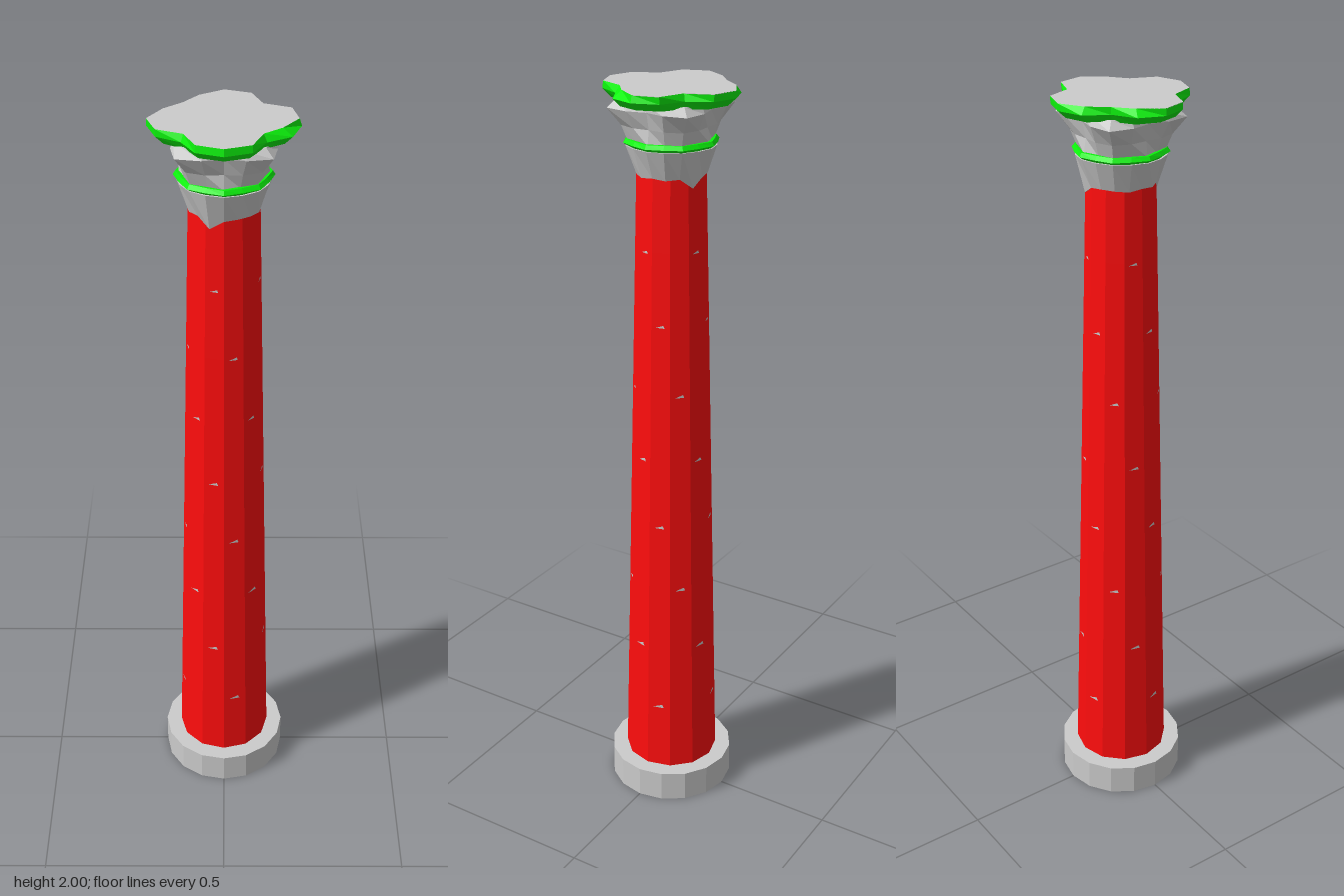
import * as THREE from 'three';

const SIDES = 16;
const mat = (color) => new THREE.MeshStandardMaterial({ color, flatShading: true, side: THREE.DoubleSide });

// Closed skin through rings of 16 radii; each ring is { y, r: [..] }.
function loft(rings, capBottom = true, capTop = true) {
  const pos = [];
  const at = (ring, i) => {
    const k = i % SIDES, a = (k / SIDES) * Math.PI * 2;
    const y = ring.drop ? ring.y - ring.drop[k % ring.drop.length] : ring.y;
    return [Math.cos(a) * ring.r[k], y, Math.sin(a) * ring.r[k]];
  };
  const tri = (...p) => p.forEach((v) => pos.push(...v));
  for (let n = 0; n < rings.length - 1; n++) {
    for (let i = 0; i < SIDES; i++) {
      const a = at(rings[n], i), b = at(rings[n + 1], i);
      const c = at(rings[n + 1], i + 1), d = at(rings[n], i + 1);
      tri(a, b, c);
      tri(a, c, d);
    }
  }
  const lo = rings[0], hi = rings[rings.length - 1];
  for (let i = 0; i < SIDES; i++) {
    if (capBottom) tri([0, lo.y, 0], at(lo, i), at(lo, i + 1));
    if (capTop) tri([0, hi.y, 0], at(hi, i + 1), at(hi, i));
  }
  const g = new THREE.BufferGeometry();
  g.setAttribute('position', new THREE.Float32BufferAttribute(pos, 3));
  g.computeVertexNormals();
  return g;
}

// Four-fold ring: radius on the axes, between, and on the diagonals.
const lobes = (axis, mid, diag) =>
  Array.from({ length: SIDES }, (_, i) => [axis, mid, diag, mid][i % 4]);

export function createModel() {
  const group = new THREE.Group();
  const grey = mat(0xcccccc), red = mat(0xff0d0d), green = mat(0x0cf20c);
  const add = (name, geometry, material) => {
    const mesh = new THREE.Mesh(geometry, material);
    mesh.name = name;
    group.add(mesh);
    return mesh;
  };

  // Round plinth
  add('base', new THREE.CylinderGeometry(0.172, 0.172, 0.086, 16), grey).position.y = 0.043;

  // Tapered shaft
  const y0 = 0.08, y1 = 1.79, r0 = 0.129, r1 = 0.087, facets = 12;
  add('shaft', new THREE.CylinderGeometry(r1, r0, y1 - y0, facets, 9), red).position.y = (y0 + y1) / 2;

  // Small chips along the joints between the drums
  const chipShape = new THREE.Shape([
    new THREE.Vector2(-0.025, -0.003),
    new THREE.Vector2(0.02, -0.004),
    new THREE.Vector2(0.014, 0.011),
  ]);
  const chipGeometry = new THREE.ShapeGeometry(chipShape);
  const chips = new THREE.Group();
  chips.name = 'jointChips';
  for (let joint = 0; joint < 8; joint++) {
    const y = 0.28 + joint * 0.188;
    const r = THREE.MathUtils.lerp(r0, r1, (y - y0) / (y1 - y0)) * Math.cos(Math.PI / facets) + 0.001;
    for (let k = 0; k < 4; k++) {
      const a = ((k * 3 + (joint * 5) % 3 + 0.5) / facets) * Math.PI * 2;
      const chip = new THREE.Mesh(chipGeometry, grey);
      chip.name = 'chip';
      chip.position.set(Math.sin(a) * r, y, Math.cos(a) * r);
      chip.rotation.y = a;
      chip.scale.setScalar(0.7 - joint * 0.03);
      chips.add(chip);
    }
  }
  group.add(chips);

  // Capital: flared lower bell with a ragged lower edge
  add('lowerBell', loft([
    { y: 1.785, r: lobes(0.088, 0.09, 0.088), drop: [0, 0.004, 0.002, 0, 0.004, 0.025, 0, 0.003] },
    { y: 1.855, r: lobes(0.115, 0.113, 0.115) },
  ]), grey);

  // Thin band
  add('capitalBand', loft([
    { y: 1.853, r: lobes(0.108, 0.106, 0.108) },
    { y: 1.862, r: lobes(0.121, 0.115, 0.121) },
    { y: 1.872, r: lobes(0.115, 0.108, 0.113) },
  ]), green);

  // Upper bell spreading to the corners
  add('upperBell', loft([
    { y: 1.868, r: lobes(0.108, 0.1, 0.11) },
    { y: 1.905, r: lobes(0.102, 0.113, 0.125) },
    { y: 1.948, r: lobes(0.112, 0.134, 0.16) },
    { y: 1.968, r: lobes(0.112, 0.125, 0.135) },
  ]), grey);

  // Four-lobed slab with a worn upper outline
  const worn = [0.174, 0.145, 0.127, 0.168, 0.178, 0.168, 0.13, 0.17,
    0.18, 0.155, 0.138, 0.157, 0.18, 0.171, 0.13, 0.172];
  add('abacus', loft([
    { y: 1.962, r: lobes(0.157, 0.15, 0.125) },
    { y: 1.982, r: lobes(0.18, 0.17, 0.138) },
    { y: 2, r: worn },
  ], true, false), green);
  add('abacusTop', loft([{ y: 1.999, r: worn }, { y: 2, r: worn }], false, true), grey);

  return group;
}
